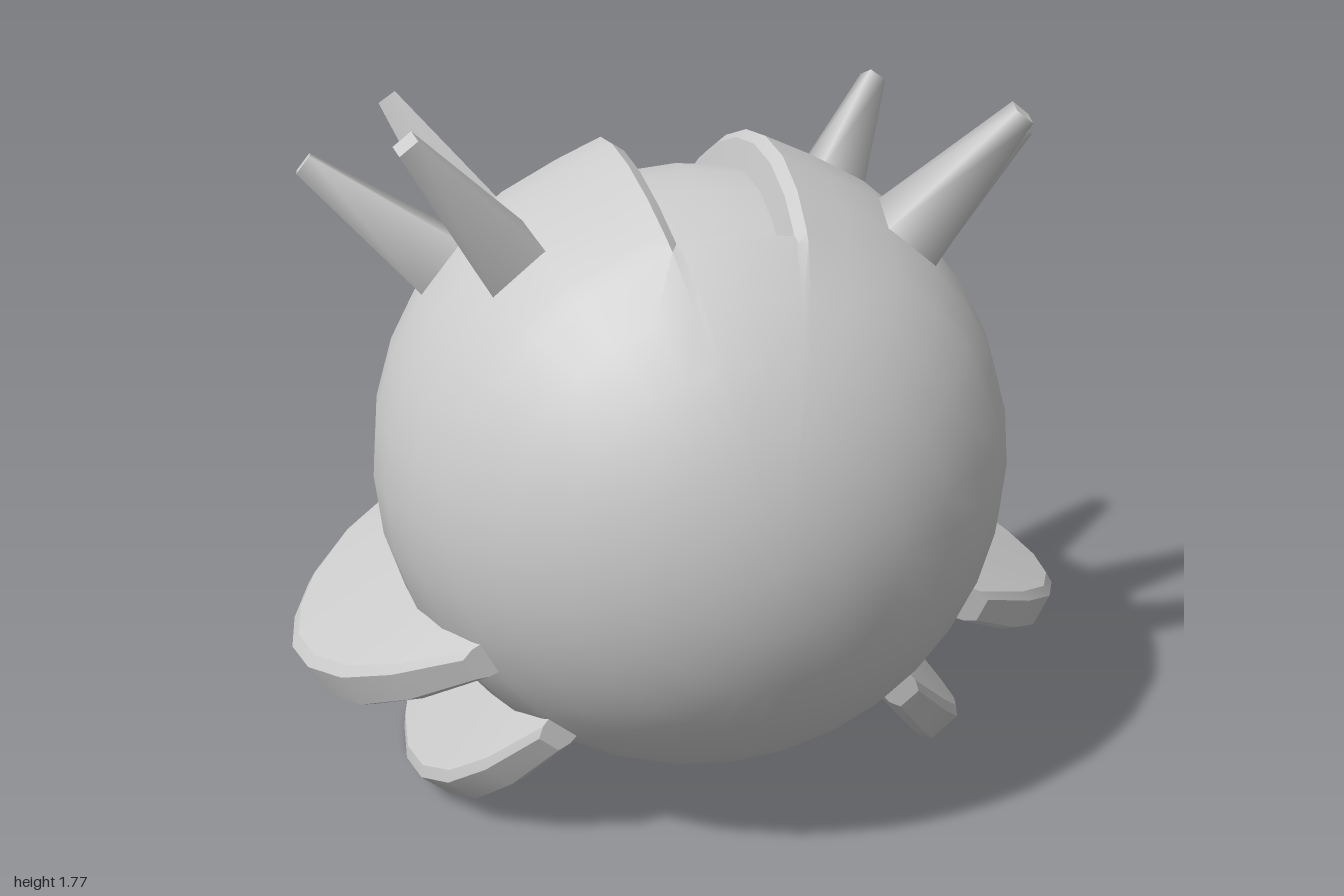
import * as THREE from 'three';
import { toCreasedNormals } from 'three/addons/utils/BufferGeometryUtils.js';

const R = 0.78, FLOOR = 0.7, CY = 0.88;
const material = new THREE.MeshStandardMaterial({ color: 0xcccccc });

// Skin a grid of points: rows x cols, each given by point(row, col) -> [x, y, z]
function skin(rows, cols, point, crease) {
  const pos = [], idx = [], n = cols.length;
  rows.forEach((r) => cols.forEach((c) => pos.push(...point(r, c))));
  for (let i = 0; i < rows.length - 1; i++) {
    for (let j = 0; j < n - 1; j++) {
      const a = i * n + j, b = a + n;
      idx.push(a, b, a + 1, a + 1, b, b + 1);
    }
  }
  const g = new THREE.BufferGeometry();
  g.setAttribute('position', new THREE.Float32BufferAttribute(pos, 3));
  g.setIndex(idx);
  return toCreasedNormals(g, crease);
}

function addMesh(parent, name, geometry) {
  const m = new THREE.Mesh(geometry, material);
  m.name = name;
  parent.add(m);
  return m;
}

// Ball with its poles on z, a round recess at the back and a groove over the top
function bodyGeometry() {
  const step = Math.PI / 16;
  // groove cross-section: angle from the top, and radius (R = untouched shell)
  const edge = [[0.195, FLOOR], [0.205, 0.77], [0.235, 0.793]];
  const cols = [[0, FLOOR], ...edge];
  for (let i = 2; i <= 30; i++) cols.push([i * step, R]);
  [...edge].reverse().forEach(([t, r]) => cols.push([2 * Math.PI - t, r]));
  cols.push([2 * Math.PI, FLOOR]);

  // rings from the back pole to the front pole
  const rows = [[0, FLOOR], [0.18, FLOOR], [0.19, 0.77], [0.225, 0.787]]
    .map(([a, r]) => ({ a, hole: r }));
  for (let i = 2; i <= 10; i++) rows.push({ a: i * step, end: FLOOR });
  rows.push({ a: 2.12, end: FLOOR }, { a: 2.135, end: 0.77 }, { a: 2.18, end: 0.785 });
  for (let i = 12; i <= 16; i++) rows.push({ a: i * step, end: R });

  return skin(rows, cols, (row, [t, c]) => {
    let r;
    if (row.hole) r = c === R ? row.hole : Math.min(row.hole, c);
    else r = row.end === R || c === R ? R : Math.max(row.end, c);
    const s = r * Math.sin(row.a);
    return [s * Math.sin(t), s * Math.cos(t), -r * Math.cos(row.a)];
  }, 0.5);
}

// Crescent fin lying in a plane through the z axis, tapering to the back
function finGeometry() {
  // z, outer radius, half thickness
  const rows = [
    [0.43, 0.5, 0], [0.43, 0.7, 0.045], [0.33, 0.87, 0.06], [0.22, 0.99, 0.067],
    [0.08, 1.07, 0.07], [-0.07, 1.105, 0.07], [-0.22, 1.09, 0.07], [-0.37, 1.04, 0.067],
    [-0.53, 0.93, 0.06], [-0.65, 0.77, 0.047], [-0.715, 0.57, 0.03], [-0.74, 0.4, 0.018],
    [-0.745, 0.25, 0.008], [-0.745, 0.15, 0],
  ];
  // along the fin (0 root, 1 rim), inset from the rim, share of half thickness
  const cols = [[0, 0, -1], [1, 0.03, -0.92], [1, 0, -0.65], [1, 0, 0.65],
    [1, 0.03, 0.92], [0, 0, 1], [0, 0, -1]];
  return skin(rows, cols, ([z, rim, half], [u, inset, v]) => {
    const root = Math.min(0.85 * Math.sqrt(R * R - z * z), rim);
    return [u ? Math.max(root, rim - inset) : root, v * half, z];
  }, 0.5);
}

// Four-sided tapered spike from base to tip, two sides kept parallel to z
function addSpike(parent, name, base, tip) {
  const b = new THREE.Vector3(...base), t = new THREE.Vector3(...tip);
  const y = t.clone().sub(b).normalize();
  b.addScaledVector(y, -0.03);
  const g = new THREE.CylinderGeometry(0.036, 0.11, b.distanceTo(t), 4);
  g.rotateY(Math.PI / 4);
  const x = y.clone().cross(new THREE.Vector3(0, 0, 1)).normalize();
  const z = x.clone().cross(y);
  g.applyMatrix4(new THREE.Matrix4().makeBasis(x, y, z));
  addMesh(parent, name, g).position.copy(b).lerp(t, 0.5);
}

export function createModel() {
  const model = new THREE.Group();
  model.name = 'spikedBall';

  addMesh(model, 'body', bodyGeometry()).position.y = CY;

  // Two fins low on each side
  const fin = finGeometry();
  for (const [label, angle] of [['upper', 0.475], ['lower', 0.88]]) {
    for (const [side, turn] of [['Left', -angle], ['Right', Math.PI + angle]]) {
      const m = addMesh(model, label + 'Fin' + side, fin);
      m.position.y = CY;
      m.rotation.z = turn;
    }
  }

  // Three spikes high on each side
  const spikes = [
    ['front', [0.48, 1.47, 0.22], [0.69, 1.745, 0.325]],
    ['middle', [0.605, 1.39, -0.08], [0.885, 1.62, -0.11]],
    ['back', [0.46, 1.4, -0.385], [0.645, 1.675, -0.55]],
  ];
  for (const [label, base, tip] of spikes) {
    for (const s of [1, -1]) {
      addSpike(model, label + 'Spike' + (s > 0 ? 'Left' : 'Right'),
        [s * base[0], base[1], base[2]], [s * tip[0], tip[1], tip[2]]);
    }
  }
  return model;
}
